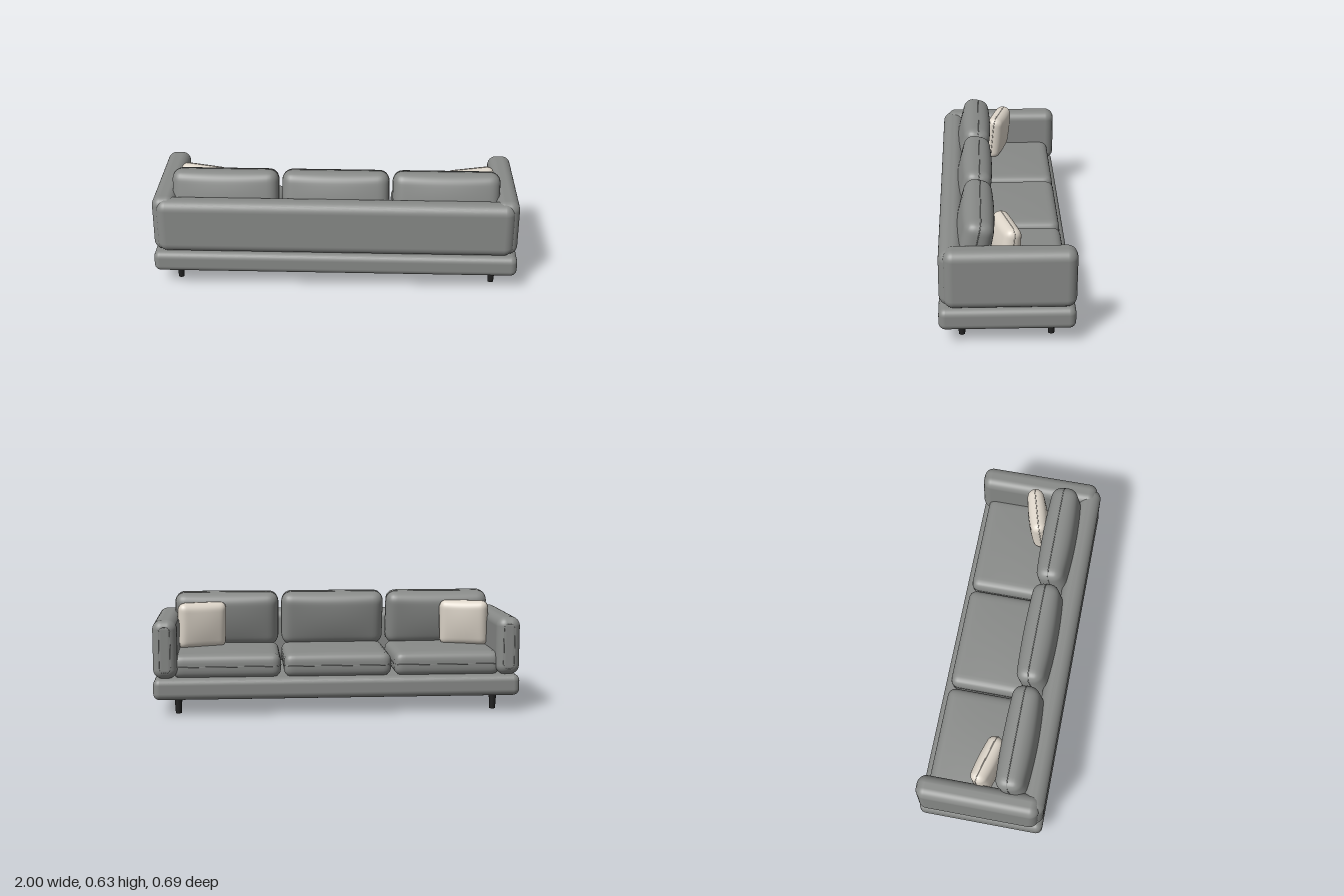
import * as THREE from 'three';
import { mergeVertices } from 'three/addons/utils/BufferGeometryUtils.js';
import { RoundedBoxGeometry } from 'three/addons/geometries/RoundedBoxGeometry.js';

const material = (name, color) => {
  const m = new THREE.MeshStandardMaterial({ color });
  m.name = name;
  return m;
};

function add(parent, name, geometry, mat, x = 0, y = 0, z = 0) {
  const mesh = new THREE.Mesh(geometry, mat);
  mesh.name = name;
  mesh.position.set(x, y, z);
  parent.add(mesh);
  return mesh;
}

// Soft cushion: a rounded box, thin along z, that swells towards the middle
function cushionGeometry(w, h, d, r, swell) {
  const g = new THREE.BoxGeometry(w, h, d, 28, 28, 12);
  g.deleteAttribute('normal');
  g.deleteAttribute('uv');
  const pos = g.attributes.position;
  const half = new THREE.Vector3(w / 2, h / 2, d / 2);
  const inner = half.clone().subScalar(r);
  const p = new THREE.Vector3();
  const core = new THREE.Vector3();
  for (let i = 0; i < pos.count; i++) {
    p.fromBufferAttribute(pos, i).divide(half);
    // crowd the grid towards the edges, where the curvature is
    p.set(...p.toArray().map((v) => Math.sin(v * Math.PI / 2))).multiply(half);
    core.copy(p).clamp(inner.clone().negate(), inner);
    p.sub(core).setLength(r).add(core);
    const u = 2 * p.x / w, v = 2 * p.y / h;
    p.z *= 1 + swell * (1 - u * u) * (1 - v * v);
    pos.setXYZ(i, p.x, p.y, p.z);
  }
  const merged = mergeVertices(g, 1e-5);
  merged.computeVertexNormals();
  return merged;
}

// Thin piping that follows a rounded rectangle in the xy plane
function pipingGeometry(w, h, r, thickness) {
  const x = w / 2 - r, y = h / 2 - r;
  const points = [];
  [[x, y], [-x, y], [-x, -y], [x, -y]].forEach(([cx, cy], k) => {
    for (let i = 0; i <= 6; i++) {
      const a = (k + i / 6) * Math.PI / 2;
      points.push(new THREE.Vector3(cx + r * Math.cos(a), cy + r * Math.sin(a), 0));
    }
  });
  const path = new THREE.CurvePath();
  points.forEach((p, i) => path.add(new THREE.LineCurve3(p, points[(i + 1) % points.length])));
  return new THREE.TubeGeometry(path, 120, thickness, 6, true);
}

function cushion(name, mat, w, h, d, r, swell) {
  const group = new THREE.Group();
  group.name = name;
  add(group, name + 'Body', cushionGeometry(w, h, d, r, swell), mat);
  add(group, name + 'Piping', pipingGeometry(w, h, r, 0.0025), mat);
  return group;
}

export function createModel() {
  const sofa = new THREE.Group();
  sofa.name = 'sofa';
  const fabric = material('grey fabric', 0x888a88);
  const cream = material('cream fabric', 0xded6ca);
  const black = material('black legs', 0x222222);

  // Base platform and backrest
  add(sofa, 'base', new RoundedBoxGeometry(2, 0.117, 0.69, 6, 0.036), fabric, 0, 0.1475, 0.003);
  add(sofa, 'backrest', new RoundedBoxGeometry(1.95, 0.307, 0.125, 8, 0.055), fabric, 0, 0.3595, 0.2825);

  for (const side of [-1, 1]) {
    // Arms with a stitched panel on the front end
    add(sofa, 'arm', new RoundedBoxGeometry(0.13, 0.317, 0.665, 8, 0.05), fabric, side * 0.933, 0.364, -0.0115);
    add(sofa, 'armSeam', pipingGeometry(0.06, 0.25, 0.03, 0.0025), fabric, side * 0.933, 0.364, -0.341);

    // Tapered legs
    for (const z of [-0.225, 0.232]) {
      add(sofa, 'leg', new THREE.CylinderGeometry(0.022, 0.016, 0.1, 20), black, side * 0.87, 0.05, z);
    }

    // Throw pillows turned slightly inwards
    const pillow = cushion('throwPillow', cream, 0.275, 0.26, 0.085, 0.04, 0.35);
    pillow.position.set(side * 0.745, 0.453, 0.01);
    pillow.rotation.set(-0.1, side * 0.27, 0, 'YXZ');
    sofa.add(pillow);
  }

  for (const i of [-1, 0, 1]) {
    // Seat cushions
    const seat = cushion('seatCushion', fabric, 0.588, 0.51, 0.13, 0.045, 0.12);
    seat.rotation.x = -Math.PI / 2;
    seat.position.set(i * 0.604, 0.265, -0.05);
    sofa.add(seat);

    // Back cushions, leaning over the seat
    const back = cushion('backCushion', fabric, 0.584, 0.31, 0.145, 0.055, 0.28);
    back.rotation.x = -0.21;
    back.position.set(i * 0.604, 0.474, 0.163);
    sofa.add(back);
  }
  return sofa;
}
